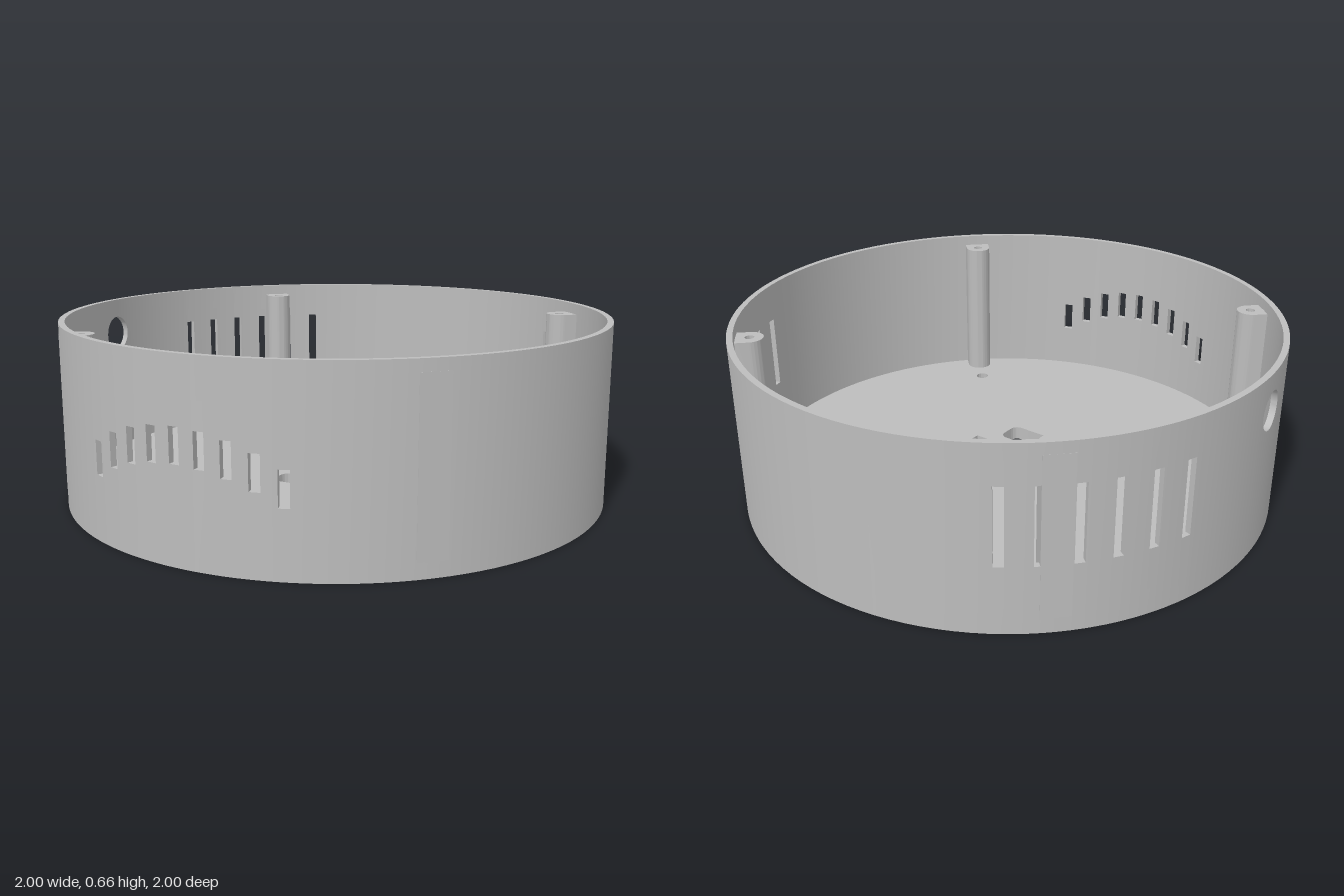
import * as THREE from 'three';
import { toCreasedNormals } from 'three/addons/utils/BufferGeometryUtils.js';

const H = 0.66, R = 1, RI = 0.978, FLOOR = 0.053, GROOVE = 0.01;
const DEG = Math.PI / 180;

// Openings through the wall: angle from the front, half width, lower and upper edge
function wallOpenings() {
  const list = [];
  const slot = (deg, half, y0, y1) => list.push({
    a: deg * DEG, half: half / R, cuts: 1, lo: () => y0, hi: () => y1,
  });
  // arched row of short vents in front
  for (let i = -4; i <= 4; i++) {
    const y = 0.383 - 0.1 * (i / 4) ** 2;
    slot(i * 5, 0.018, y - 0.058, y + 0.058);
  }
  // tall vents on both rear quarters
  for (const s of [-1, 1]) for (let i = 0; i < 6; i++) slot(s * (110 + i * 7), 0.017, 0.245, 0.52);
  // round cable hole
  const r = 0.07, a = -84.5 * DEG;
  const h = t => Math.sqrt(Math.max(0, r * r - (t - a) ** 2));
  list.push({ a, half: r, cuts: 24, lo: t => 0.52 - h(t), hi: t => 0.52 + h(t) });
  return list;
}

// Ring wall made column by column, leaving the openings free
function wallGeometry() {
  const openings = wallOpenings();
  const pos = [];
  const P = (r, t, y) => [r * Math.sin(t), y, r * Math.cos(t)];
  const quad = (a, b, c, d) => pos.push(...a, ...b, ...c, ...a, ...c, ...d);
  const sheet = (t0, t1, b0, b1, c0, c1) => {
    quad(P(R, t0, b0), P(R, t1, b1), P(R, t1, c1), P(R, t0, c0));
    quad(P(RI, t1, b1), P(RI, t0, b0), P(RI, t0, c0), P(RI, t1, c1));
  };
  const ledgeUp = (t0, t1, y0, y1) => quad(P(R, t0, y0), P(R, t1, y1), P(RI, t1, y1), P(RI, t0, y0));
  const ledgeDown = (t0, t1, y0, y1) => quad(P(RI, t0, y0), P(RI, t1, y1), P(R, t1, y1), P(R, t0, y0));

  let breaks = [];
  for (let i = 0; i <= 120; i++) {
    const t = (i * 3 - 180) * DEG;
    if (!openings.some(o => Math.abs(t - o.a) < o.half + 1e-4)) breaks.push(t);
  }
  for (const o of openings) for (let k = 0; k <= o.cuts; k++) {
    breaks.push(o.a - o.half * Math.cos(Math.PI * k / o.cuts));
  }
  breaks.sort((a, b) => a - b);

  for (let i = 0; i + 1 < breaks.length; i++) {
    const t0 = breaks[i], t1 = breaks[i + 1], mid = (t0 + t1) / 2;
    ledgeUp(t0, t1, H, H);
    ledgeDown(t0, t1, 0, 0);
    const o = openings.find(q => Math.abs(mid - q.a) < q.half);
    if (!o) { sheet(t0, t1, 0, 0, H, H); continue; }
    const l0 = o.lo(t0), l1 = o.lo(t1), h0 = o.hi(t0), h1 = o.hi(t1);
    sheet(t0, t1, 0, 0, l0, l1);
    sheet(t0, t1, h0, h1, H, H);
    ledgeUp(t0, t1, l0, l1);
    ledgeDown(t0, t1, h0, h1);
    if (o.cuts === 1) {
      quad(P(R, t0, l0), P(RI, t0, l0), P(RI, t0, h0), P(R, t0, h0));
      quad(P(RI, t1, l1), P(R, t1, l1), P(R, t1, h1), P(RI, t1, h1));
    }
  }
  const g = new THREE.BufferGeometry();
  g.setAttribute('position', new THREE.Float32BufferAttribute(pos, 3));
  return toCreasedNormals(g, 0.5);
}

// Outlines on the floor plane, given in x and z
const circle = (x, z, r) => new THREE.Path().absarc(x, -z, r, 0, Math.PI * 2, false);
const poly = (pts, Kind = THREE.Path) => new Kind(pts.map(([x, z]) => new THREE.Vector2(x, -z)));
const rect = (x0, x1, z0, z1, Kind) => poly([[x0, z0], [x1, z0], [x1, z1], [x0, z1]], Kind);

function roundedRect(x0, x1, z0, z1, r) {
  const p = new THREE.Path();
  p.absarc(x1 - r, -z0 - r, r, 0, Math.PI / 2);
  p.absarc(x0 + r, -z0 - r, r, Math.PI / 2, Math.PI);
  p.absarc(x0 + r, -z1 + r, r, Math.PI, Math.PI * 1.5);
  p.absarc(x1 - r, -z1 + r, r, Math.PI * 1.5, Math.PI * 2);
  p.closePath();
  return p;
}

function disc(r) {
  const s = new THREE.Shape();
  s.absarc(0, 0, r, 0, Math.PI * 2, false);
  return s;
}

// Extrudes a floor-plane shape upward from y0 to y1
function slab(shape, y0, y1) {
  const g = new THREE.ExtrudeGeometry(shape, { depth: y1 - y0, bevelEnabled: false, curveSegments: 48 });
  g.rotateX(-Math.PI / 2).translate(0, y0, 0);
  return toCreasedNormals(g, 0.5);
}

// Socket, switch and mounting holes
function floorCutouts() {
  const holes = [
    rect(-0.085, 0.215, -0.085, 0.08),
    roundedRect(-0.145, 0.14, 0.135, 0.24, 0.03),
    circle(-0.11, 0, 0.017), circle(0.242, 0, 0.017),
  ];
  for (const x of [-0.56, 0.56]) for (const z of [-0.56, 0.555]) holes.push(circle(x, z, 0.025));
  return holes;
}

// Screw post outline, pointing outward along x and reaching through the wall
function postShape(withHole) {
  const s = new THREE.Shape();
  s.moveTo(1, -0.05);
  s.lineTo(1, 0.05);
  s.lineTo(0.928, 0.05);
  s.absarc(0.928, 0, 0.05, Math.PI / 2, Math.PI * 1.5, false);
  s.closePath();
  if (withHole) s.holes.push(circle(0.928, 0, 0.017));
  return s;
}

export function createModel() {
  const root = new THREE.Group();
  root.name = 'roundEnclosure';
  const grey = new THREE.MeshStandardMaterial({ color: 0xbdbdbd });
  grey.name = 'grey plastic';
  const add = (name, geometry, parent = root) => {
    const m = new THREE.Mesh(geometry, grey);
    m.name = name;
    parent.add(m);
    return m;
  };

  add('wall', wallGeometry());

  // Floor plate, with a thin underside layer that carries the grooves
  const plate = disc(0.988);
  plate.holes.push(...floorCutouts());
  add('floor', slab(plate, GROOVE, FLOOR));

  const outer = 0.637, inner = 0.617;
  const underside = disc(0.988);
  underside.holes.push(rect(-outer, outer, -outer, outer));
  underside.holes.push(poly([[-0.05, 0.88], [0.05, 0.88], [0, 0.955]])); // front marker
  add('undersideRim', slab(underside, 0, GROOVE));

  const panel = rect(-inner, inner, -inner, inner, THREE.Shape);
  panel.holes.push(...floorCutouts());
  add('undersidePanel', slab(panel, 0, GROOVE));

  // Four screw posts on the diagonals
  for (let i = 0; i < 4; i++) {
    const post = new THREE.Group();
    post.name = 'screwPost';
    post.rotation.y = Math.PI / 4 + i * Math.PI / 2;
    add('postBase', slab(postShape(false), FLOOR, 0.4), post);
    add('postTop', slab(postShape(true), 0.4, 0.62), post);
    root.add(post);
  }
  return root;
}
